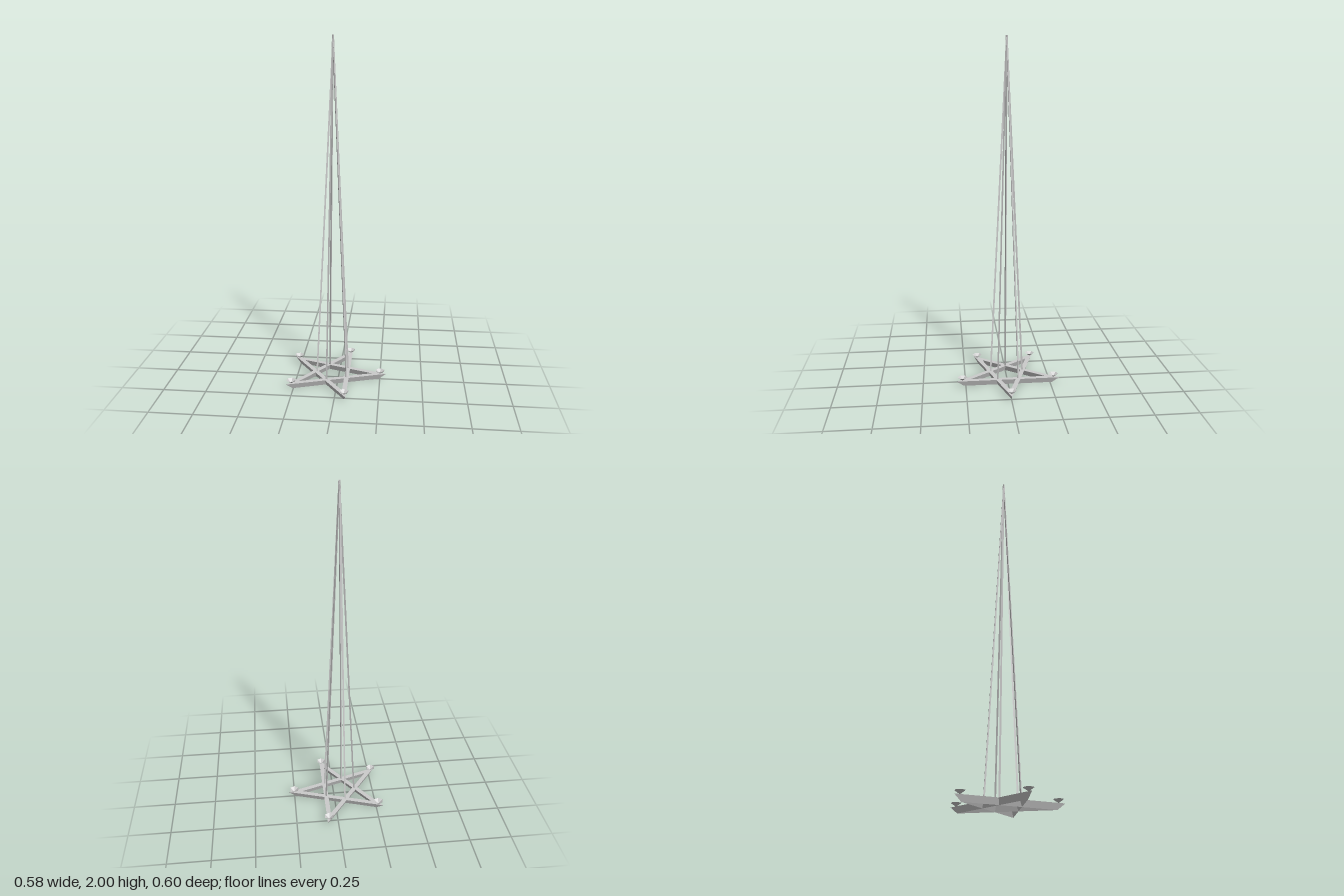
import * as THREE from 'three';

const POINTS = 5;
const STEP = (Math.PI * 2) / POINTS;
const BAR_TOP = 0.034;

const material = new THREE.MeshStandardMaterial({ color: 0xcccccc, flatShading: true });
const openMaterial = new THREE.MeshStandardMaterial({
  color: 0xcccccc, flatShading: true, side: THREE.DoubleSide,
});

// Five-pointed star: a V-shaped bar section swept point to point with mitred tips
function starGeometry() {
  const radius = 0.275, mitre = 0.043;
  const section = [[radius + mitre, BAR_TOP], [radius - mitre, BAR_TOP], [radius, 0]];
  const positions = [];
  const index = [];
  for (let k = 0; k < POINTS; k++) {
    const a = k * 2 * STEP;
    for (const [r, y] of section) positions.push(r * Math.cos(a), y, -r * Math.sin(a));
    for (let s = 0; s < 3; s++) {
      const next = ((k + 1) % POINTS) * 3;
      const t = (s + 1) % 3;
      const p = k * 3 + s, p1 = next + s, q = k * 3 + t, q1 = next + t;
      index.push(p, p1, q1, p, q1, q);
    }
  }
  const geometry = new THREE.BufferGeometry();
  geometry.setAttribute('position', new THREE.Float32BufferAttribute(positions, 3));
  geometry.setIndex(index);
  const flat = geometry.toNonIndexed();
  flat.computeVertexNormals();
  return flat;
}

// Slim three-sided leg, flat face outwards, leaning in to the apex
function legGeometry() {
  const footR = 0.102, footY = 0.022, topY = 2;
  const rise = topY - footY;
  const geometry = new THREE.CylinderGeometry(
    0.006, 0.006, Math.hypot(footR, rise), 3, 1, false, -Math.PI / 2);
  geometry.rotateZ(Math.atan2(footR, rise));
  geometry.translate(footR / 2, (footY + topY) / 2, 0);
  return geometry;
}

export function createModel() {
  const model = new THREE.Group();
  model.name = 'starBasedSpire';

  const star = new THREE.Mesh(starGeometry(), material);
  star.name = 'starBase';
  star.position.x = -0.031;
  model.add(star);

  // Open six-sided cups standing on the star points
  const cups = new THREE.Group();
  cups.name = 'cups';
  cups.position.x = -0.032;
  const cupR = 0.283, cupHeight = 0.02;
  const cupGeometry = new THREE.CylinderGeometry(
    0.029, 0, cupHeight, 6, 1, true, THREE.MathUtils.degToRad(115));

  // Legs rise from the inner crossings of the star
  const legs = new THREE.Group();
  legs.name = 'legs';
  legs.position.x = -0.029;
  const legShape = legGeometry();

  for (let i = 0; i < POINTS; i++) {
    const a = i * STEP;
    const cup = new THREE.Mesh(cupGeometry, openMaterial);
    cup.name = `cup${i + 1}`;
    cup.position.set(
      cupR * Math.cos(a), BAR_TOP + 0.0005 + cupHeight / 2, -cupR * Math.sin(a));
    cups.add(cup);

    const leg = new THREE.Mesh(legShape, material);
    leg.name = `leg${i + 1}`;
    leg.rotation.y = a + STEP / 2;
    legs.add(leg);
  }

  model.add(cups, legs);
  return model;
}
